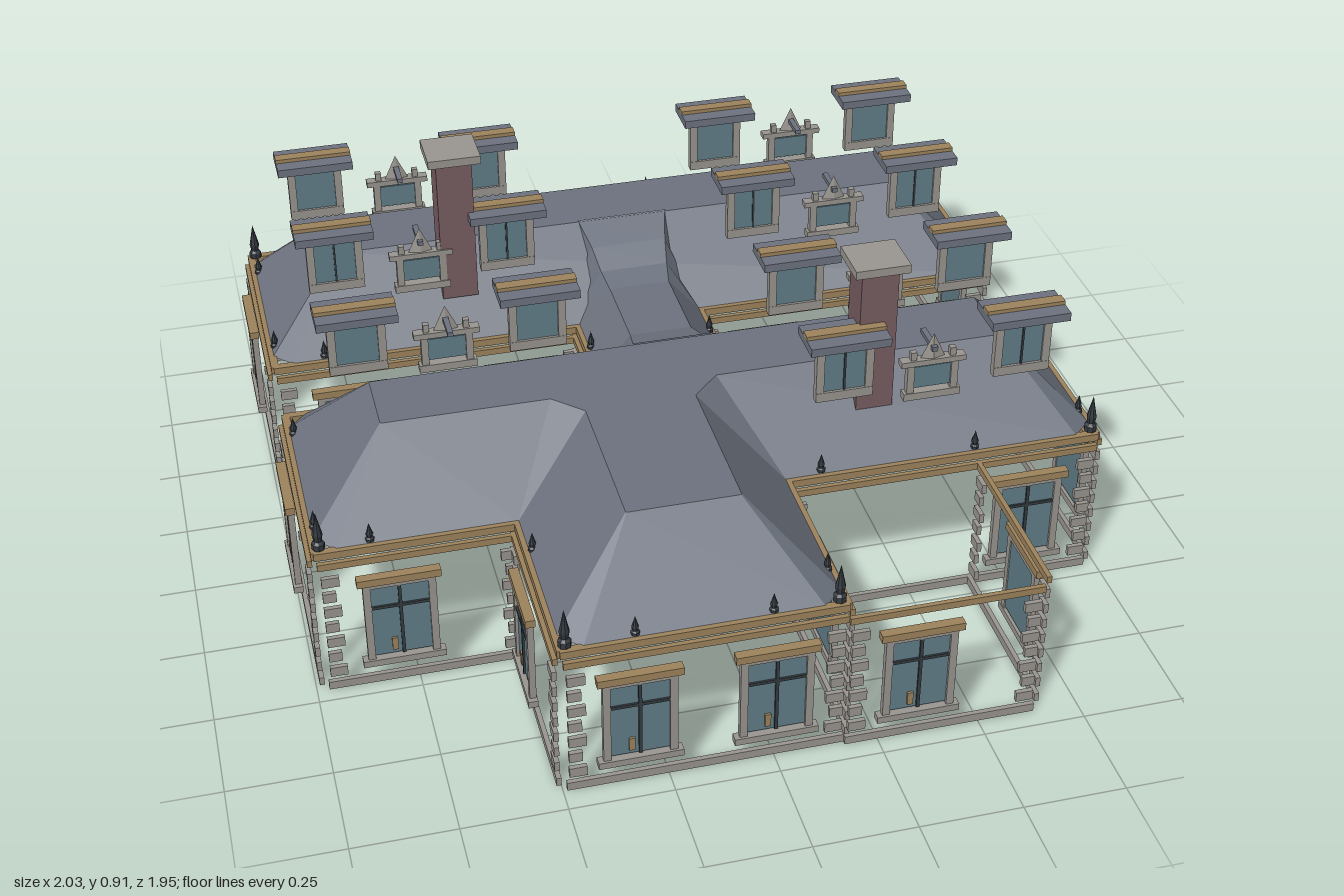
import * as THREE from 'three';

const mat = (color, side = THREE.FrontSide) => new THREE.MeshStandardMaterial({ color, side, flatShading: true });
const slate = mat(0x6c727e, THREE.DoubleSide), stone = mat(0x999590), tan = mat(0x9c835c);
const glass = mat(0x607d88), dark = mat(0x343a40), brick = mat(0x775c60);
const EAVE = 0.41, RIDGE = 0.61, INSET = 0.195;

function box(parent, name, m, w, h, d, x, y, z) {
  const b = new THREE.Mesh(new THREE.BoxGeometry(w, h, d), m);
  b.position.set(x, y, z);
  b.name = name;
  parent.add(b);
  return b;
}

function group(parent, name, x = 0, z = 0, angle = 0) {
  const g = new THREE.Group();
  g.name = name;
  g.position.set(x, 0, z);
  g.rotation.y = angle;
  parent.add(g);
  return g;
}

function surface(parent, name, pos) {
  const geo = new THREE.BufferGeometry();
  geo.setAttribute('position', new THREE.Float32BufferAttribute(pos, 3));
  geo.computeVertexNormals();
  const m = new THREE.Mesh(geo, slate);
  m.name = name;
  parent.add(m);
}

// Hipped roof with a flat top over a right-angled outline
function hipRoof(parent, name, outline) {
  const low = [], high = [], n = outline.length, pos = [];
  outline.forEach(([x, z], i) => {
    const [px, pz] = outline[(i + n - 1) % n], [qx, qz] = outline[(i + 1) % n];
    const a = [Math.sign(x - px), Math.sign(z - pz)], b = [Math.sign(qx - x), Math.sign(qz - z)];
    const convex = a[0] * b[1] - a[1] * b[0] > 0;
    const tx = x - INSET * (a[1] + b[1]), tz = z + INSET * (a[0] + b[0]);
    const e = convex ? 0.05 : 0, t = convex ? 0.002 : 0.07;
    low.push([x - a[0] * e, EAVE, z - a[1] * e], [x + b[0] * e, EAVE, z + b[1] * e]);
    high.push([tx - a[0] * t, RIDGE, tz - a[1] * t], [tx + b[0] * t, RIDGE, tz + b[1] * t]);
  });
  low.forEach((p, i) => {
    const j = (i + 1) % low.length;
    pos.push(...p, ...high[i], ...high[j], ...p, ...high[j], ...low[j]);
  });
  const flat = high.map(p => new THREE.Vector2(p[0], -p[2]));
  for (const [i, j, k] of THREE.ShapeUtils.triangulateShape(flat, [])) {
    const up = flat[j].clone().sub(flat[i]).cross(flat[k].clone().sub(flat[i])) > 0;
    pos.push(...high[i], ...high[up ? j : k], ...high[up ? k : j]);
  }
  surface(parent, name, pos);
}

// Low link roof that sweeps up into the wings at both ends
function linkRoof(parent) {
  const stations = [[-0.56, 0.612, 0.12], [-0.48, 0.57, 0.1], [-0.42, 0.53, 0.09], [-0.36, 0.51, 0.08],
    [-0.13, 0.51, 0.08], [-0.06, 0.53, 0.09], [0, 0.57, 0.1], [0.08, 0.612, 0.12]];
  const rows = stations.map(([z, y, w]) => [[-0.165, EAVE, z], [-w, y, z], [w, y, z], [0.165, EAVE, z]]);
  const pos = [];
  for (let i = 0; i + 1 < rows.length; i++) for (let k = 0; k < 3; k++) {
    const [a, b, c, d] = [rows[i][k], rows[i][k + 1], rows[i + 1][k + 1], rows[i + 1][k]];
    pos.push(...a, ...d, ...c, ...a, ...c, ...b);
  }
  surface(parent, 'linkRoof', pos);
}

function addWindow(wall, x) {
  const w = group(wall, 'window', x, 0.012);
  box(w, 'glass', glass, 0.14, 0.21, 0.006, 0, 0.205, 0);
  for (const s of [-1, 1]) box(w, 'jamb', stone, 0.018, 0.23, 0.016, s * 0.078, 0.205, 0.002);
  box(w, 'head', stone, 0.174, 0.015, 0.016, 0, 0.313, 0.002);
  box(w, 'lintel', tan, 0.2, 0.02, 0.024, 0, 0.328, 0.004);
  box(w, 'sill', stone, 0.2, 0.018, 0.024, 0, 0.085, 0.004);
  box(w, 'mullion', dark, 0.008, 0.21, 0.006, 0, 0.205, 0.005);
  box(w, 'transom', dark, 0.14, 0.008, 0.006, 0, 0.245, 0.005);
  box(w, 'latch', tan, 0.014, 0.035, 0.006, -0.02, 0.13, 0.006);
}

// Trim of one wall: plinth, cornice, corner blocks and windows
const ANGLES = { '+z': 0, '+x': Math.PI / 2, '-z': Math.PI, '-x': -Math.PI / 2 };
function addWall(parent, face, c, a, b, windows, roofed = true) {
  const mid = (a + b) / 2, len = b - a, out = c + (face[0] === '+' ? 0.015 : -0.015);
  const onZ = face[1] === 'z', dir = face === '+z' || face === '-x' ? 1 : -1;
  const w = group(parent, 'wallTrim', onZ ? mid : out, onZ ? out : mid, ANGLES[face]);
  box(w, 'plinth', stone, len, 0.022, 0.012, 0, 0.02, 0);
  box(w, 'lowerCornice', tan, len, 0.018, 0.012, 0, 0.378, 0);
  if (roofed) box(w, 'gutter', tan, len + 0.01, 0.02, 0.02, 0, 0.402, -0.014);
  for (const s of [-1, 1]) for (let i = 0; i < 7; i++) {
    const q = i % 2 ? 0.032 : 0.042;
    box(w, 'cornerBlock', stone, q, 0.026, 0.012, s * (len / 2 - q / 2 - 0.006), 0.062 + i * 0.045, 0.002);
  }
  for (const u of windows) addWindow(w, dir * (u - mid));
}

function addDormer(parent, x, z, angle) {
  const d = group(parent, 'dormer', x, z, angle);
  box(d, 'dormerGlass', glass, 0.11, 0.12, 0.008, 0, 0.65, 0.005);
  for (const s of [-1, 1]) box(d, 'dormerJamb', stone, 0.02, 0.16, 0.02, s * 0.062, 0.65, 0.005);
  box(d, 'dormerSill', stone, 0.144, 0.025, 0.022, 0, 0.58, 0.005);
  box(d, 'dormerHead', stone, 0.144, 0.02, 0.022, 0, 0.715, 0.005);
  box(d, 'dormerMullion', dark, 0.005, 0.12, 0.005, 0, 0.65, 0.01);
  box(d, 'dormerRoof', slate, 0.2, 0.022, 0.11, 0, 0.739, 0);
  box(d, 'dormerRidge', tan, 0.2, 0.01, 0.03, 0, 0.755, 0);
  box(d, 'dormerFascia', tan, 0.17, 0.012, 0.03, 0, 0.724, 0.015);
}

function addSmallDormer(parent, x, z, angle) {
  const d = group(parent, 'smallDormer', x, z, angle);
  box(d, 'smallGlass', glass, 0.1, 0.06, 0.008, 0, 0.598, 0);
  for (const s of [-1, 1]) {
    box(d, 'smallJamb', stone, 0.018, 0.1, 0.02, s * 0.056, 0.595, 0);
    box(d, 'smallKnob', stone, 0.015, 0.025, 0.015, s * 0.05, 0.66, 0);
  }
  box(d, 'smallSill', stone, 0.145, 0.02, 0.026, 0, 0.548, 0);
  box(d, 'smallLedge', stone, 0.165, 0.015, 0.026, 0, 0.643, 0);
  box(d, 'smallRidge', slate, 0.014, 0.012, 0.09, 0, 0.68, -0.03);
  const peak = new THREE.Mesh(new THREE.ConeGeometry(0.035, 0.075, 4), stone);
  peak.name = 'smallPeak';
  peak.position.y = 0.68;
  peak.scale.z = 0.3;
  d.add(peak);
}

function addSpike(parent, x, z, h, r) {
  const pts = [[0, 0], [r, 0], [r, h * 0.15], [r * 0.6, h * 0.22], [r * 0.8, h * 0.4], [0, h]];
  const s = new THREE.Mesh(new THREE.LatheGeometry(pts.map(p => new THREE.Vector2(...p)), 8), dark);
  s.name = 'finial';
  s.position.set(x, 0.415, z);
  parent.add(s);
}

function addChimney(parent, x, z) {
  const c = group(parent, 'chimney', x, z);
  box(c, 'shaft', brick, 0.093, 0.4, 0.088, 0, 0.7, 0);
  box(c, 'cap', stone, 0.136, 0.022, 0.124, 0, 0.91, 0);
}

export function createModel() {
  const root = new THREE.Group();
  root.name = 'house';

  // Roofs
  hipRoof(root, 'backRoof', [[-0.97, -0.93], [0.97, -0.93], [0.97, -0.36], [-0.97, -0.36]]);
  hipRoof(root, 'frontRoof', [[-0.97, -0.13], [0.97, -0.13], [0.97, 0.44], [0.17, 0.44],
    [0.17, 0.92], [-0.49, 0.92], [-0.49, 0.44], [-0.97, 0.44]]);
  linkRoof(root);

  // Walls: facing, plane, start, end, window centres
  const walls = [
    ['-z', -0.93, -0.97, -0.485, [-0.68]], ['-z', -0.93, -0.485, 0.165, [-0.36, 0]], ['-z', -0.93, 0.165, 0.97, [0.45, 0.74]],
    ['+x', 0.97, -0.93, -0.36, [-0.63]], ['-x', -0.97, -0.93, -0.36, [-0.75]],
    ['+z', -0.36, -0.97, -0.165, [-0.785, -0.33]], ['+z', -0.36, 0.165, 0.97, [0.34, 0.79]],
    ['+x', 0.165, -0.36, -0.13, []], ['-x', -0.165, -0.36, -0.13, []],
    ['-z', -0.13, -0.97, -0.165, [-0.67, -0.38]], ['-z', -0.13, 0.165, 0.97, [0.44, 0.72]],
    ['+x', 0.97, -0.13, 0.44, [0.26]], ['-x', -0.97, -0.13, 0.44, [0.06]],
    ['+z', 0.44, -0.97, -0.49, [-0.785]], ['+z', 0.44, 0.17, 0.97, [0.79]],
    ['-x', -0.49, 0.44, 0.92, [0.62]], ['+x', 0.17, 0.44, 0.92, [0.68]],
    ['+z', 0.92, -0.49, 0.17, [-0.32, 0]],
    ['+z', 0.93, 0.17, 0.64, [0.34], false], ['+x', 0.645, 0.45, 0.92, [0.74], false],
  ];
  for (const w of walls) addWall(root, ...w);

  // Dormer rows: z, facing angle, first column
  const rows = [[-0.835, Math.PI, 0], [-0.455, 0, 0], [-0.05, Math.PI, 0], [0.345, 0, 2]];
  for (const [z, angle, first] of rows) {
    [-0.785, -0.335, 0.335, 0.79].slice(first).forEach(x => addDormer(root, x, z, angle));
    [-0.563, 0.558].slice(first / 2).forEach(x => addSmallDormer(root, x, z + (angle ? -0.01 : 0.01), angle));
  }

  addChimney(root, -0.465, -0.48);
  addChimney(root, 0.42, 0.295);

  // Finials: tall on corners, short along the eaves
  const tall = [[-0.96, -0.92], [0.96, -0.92], [0.155, -0.92], [-0.96, 0.43], [0.96, 0.43], [-0.48, 0.91], [0.155, 0.91]];
  for (const [x, z] of tall) addSpike(root, x, z, 0.1, 0.016);
  const small = [[-0.66, -0.92], [-0.26, -0.92], [0, -0.92], [0.86, -0.92], [-0.96, -0.83], [0.96, -0.83],
    [-0.96, -0.45], [0.96, -0.45], [-0.84, -0.37], [0.86, -0.37], [-0.16, -0.24], [0.16, -0.24],
    [-0.66, -0.12], [-0.26, -0.12], [0.26, -0.12], [0.86, -0.12], [-0.96, -0.04], [0.96, -0.04],
    [-0.96, 0.35], [0.96, 0.35], [-0.84, 0.43], [0.26, 0.43], [0.655, 0.43], [-0.48, 0.56], [0.16, 0.8],
    [-0.32, 0.91], [0, 0.91]];
  for (const [x, z] of small) addSpike(root, x, z, 0.05, 0.011);
  return root;
}
